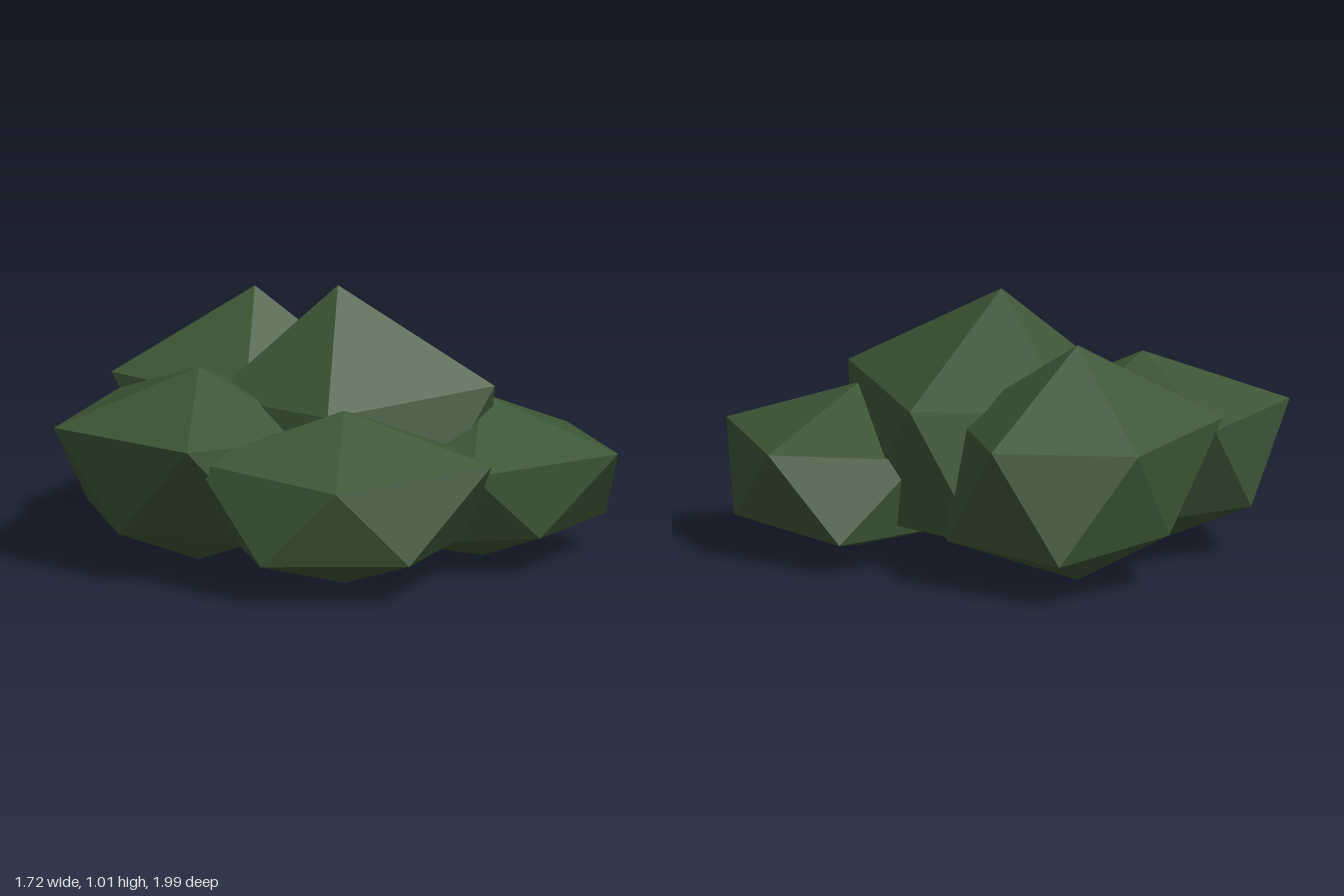
import * as THREE from 'three';

// Each clump is an uneven icosahedron standing on one point.
// at: [x, z] of its axis; top, mid, base: heights of tip, centre and lowest point
// upper, lower: radii of the two five-sided rings (upper starts at +x, lower 36 degrees on)
// rise, drop: how far a ring corner sits above or below the centre, per unit of radius
const clumps = [
  { name: 'centreClump', at: [0.10, -0.015], top: 1.02, mid: 0.3725, base: 0.02, rise: 0.5, drop: 0.35,
    upper: [0.5, 0.635, 0.53, 0.49, 0.53], lower: [0.57, 0.55, 0.55, 0.55, 0.6] },
  { name: 'frontRightClump', at: [-0.30, 0.355], top: 0.67, mid: 0.294, base: 0.005, rise: 0.363, drop: 0.28,
    upper: [0.5, 0.597, 0.435, 0.575, 0.5], lower: [0.47, 0.463, 0.487, 0.48, 0.48] },
  { name: 'frontLeftClump', at: [0.365, 0.47], top: 0.63, mid: 0.243, base: 0.005, rise: 0.37, drop: 0.215,
    upper: [0.495, 0.55, 0.51, 0.5, 0.475], lower: [0.475, 0.41, 0.48, 0.48, 0.565] },
  { name: 'backLeftClump', at: [0.25, -0.55], top: 0.905, mid: 0.328, base: 0.005, rise: 0.5, drop: 0.31,
    upper: [0.47, 0.5, 0.5, 0.553, 0.474], lower: [0.5, 0.5, 0.45, 0.38, 0.53] },
  { name: 'backRightClump', at: [-0.37, -0.30], top: 0.75, mid: 0.31, base: 0.005, rise: 0.42, drop: 0.26,
    upper: [0.5, 0.5, 0.6, 0.56, 0.566], lower: [0.48, 0.48, 0.465, 0.45, 0.48] },
];

function clumpGeometry({ at: [x, z], top, mid, base, upper, lower, rise, drop }) {
  const ring = (radii, start, slope) => radii.map((r, i) => {
    const a = start + i * Math.PI * 0.4;
    return [x + r * Math.cos(a), mid + r * slope, z + r * Math.sin(a)];
  });
  const u = ring(upper, 0, rise);
  const l = ring(lower, Math.PI / 5, -drop);
  const tip = [x, top, z], foot = [x, base, z];

  const points = [];
  for (let i = 0; i < 5; i++) {
    const j = (i + 1) % 5;
    points.push(
      tip, u[j], u[i],     // cap
      u[i], u[j], l[i],    // belt
      l[i], u[j], l[j],
      foot, l[i], l[j],    // underside
    );
  }
  const geometry = new THREE.BufferGeometry();
  geometry.setAttribute('position', new THREE.Float32BufferAttribute(points.flat(), 3));
  geometry.computeVertexNormals();
  return geometry;
}

export function createModel() {
  const group = new THREE.Group();
  group.name = 'bush';
  const leafGreen = new THREE.MeshStandardMaterial({ color: 0x3d5636, flatShading: true });
  leafGreen.name = 'leaf green';

  for (const clump of clumps) {
    const mesh = new THREE.Mesh(clumpGeometry(clump), leafGreen);
    mesh.name = clump.name;
    group.add(mesh);
  }
  return group;
}
